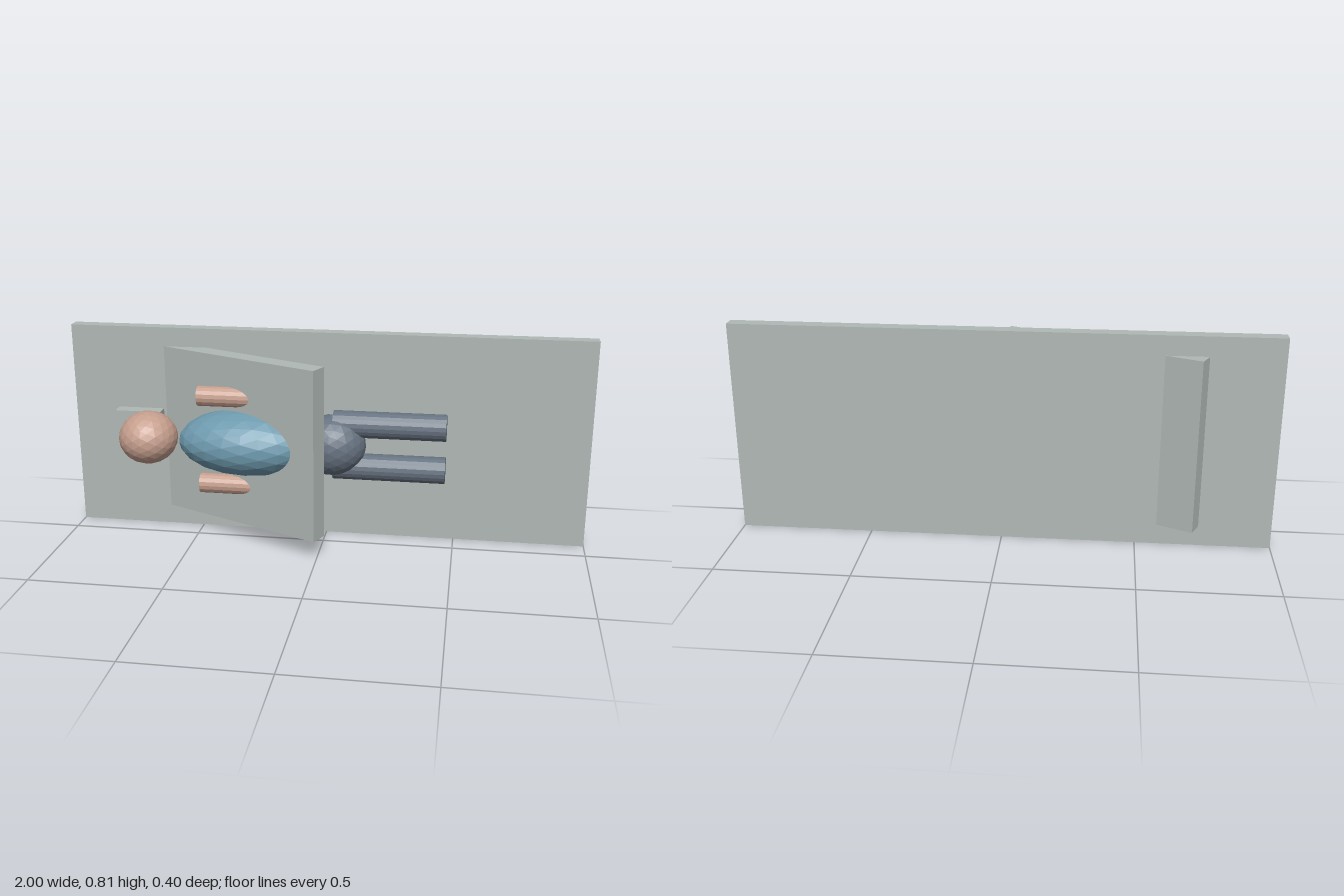
import * as THREE from 'three';

export function createModel() {
  const model = new THREE.Group();
  model.name = 'recliningFigure';

  const makeMaterial = (name, color) => {
    const m = new THREE.MeshStandardMaterial({ color, flatShading: true });
    m.name = name;
    return m;
  };
  const panelGrey = makeMaterial('panelGrey', 0xb0b8b5);
  const skin = makeMaterial('skin', 0xc69f8e);
  const shirtBlue = makeMaterial('shirtBlue', 0x6e9aae);
  const trouserSlate = makeMaterial('trouserSlate', 0x667280);

  const midY = 0.405; // the figure is mirrored about this height

  const add = (name, geometry, material, x, y, z) => {
    const mesh = new THREE.Mesh(geometry, material);
    mesh.name = name;
    mesh.position.set(x, y, z);
    model.add(mesh);
    return mesh;
  };
  // faceted ellipsoid with the given radii
  const ball = (rx, ry, rz) => new THREE.IcosahedronGeometry(1, 3).scale(rx, ry, rz);
  // cylinder lying along x
  const rod = (radius, length, sides) =>
    new THREE.CylinderGeometry(radius, radius, length, sides).rotateZ(Math.PI / 2);

  // bed: long base board, tilted back board, head pillow
  add('baseBoard', new THREE.BoxGeometry(2, 0.807, 0.052), panelGrey, 0, 0.4035, -0.116);
  const back = add('tiltedBoard', new THREE.BoxGeometry(0.8, 0.656, 0.07), panelGrey, -0.357, midY, -0.003);
  back.rotation.y = -THREE.MathUtils.degToRad(24.4);
  add('pillow', new THREE.BoxGeometry(0.18, 0.165, 0.052), panelGrey, -0.73, midY, -0.05);

  // body
  add('head', ball(0.112, 0.101, 0.116), skin, -0.672, midY, 0.036);
  add('torso', ball(0.27, 0.126, 0.163), shirtBlue, -0.28, midY, 0.033);
  add('hips', ball(0.128, 0.116, 0.107), trouserSlate, 0.038, midY, 0.024);

  // paired limbs
  for (const side of [-1, 1]) {
    const label = side > 0 ? 'upper' : 'lower';
    add(label + 'Arm', rod(0.038, 0.374, 16), skin, -0.283, midY + side * 0.174, 0.038);
    add(label + 'Leg', rod(0.05, 0.42, 20), trouserSlate, 0.253, midY + side * 0.083, 0.019);
    add(label + 'Foot', ball(0.03, 0.02, 0.011), skin, 0.275, midY + side * 0.084, -0.079);
  }
  return model;
}
